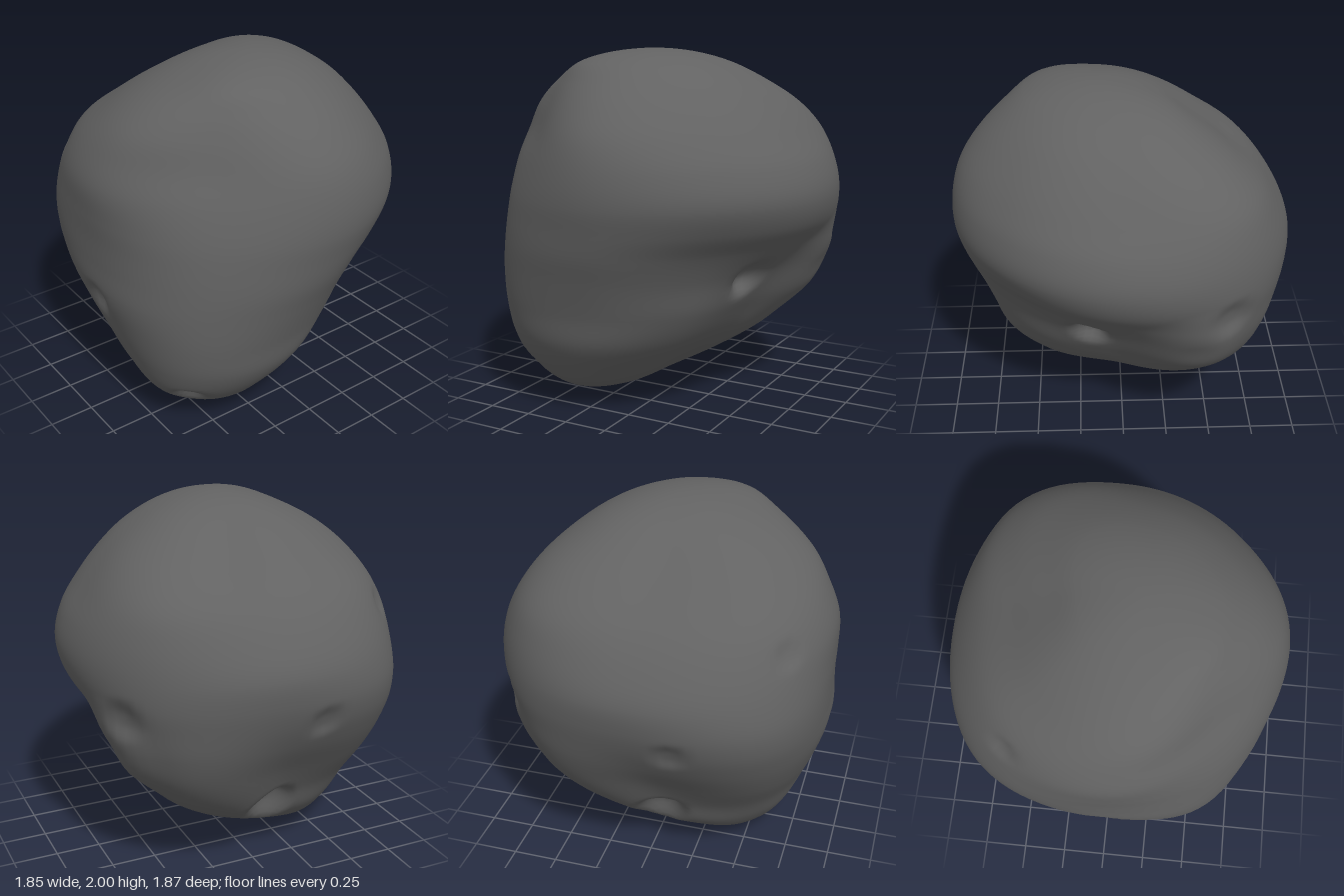
import * as THREE from 'three';
import { mergeVertices } from 'three/addons/utils/BufferGeometryUtils.js';

// Cross-sections from bottom to top: [y, centre x, centre z, then eight radii
// at 45 degree steps running +x, +x+z, +z, -x+z, -x, -x-z, -z, +x-z]
const sections = [
  [0.12, -0.35, 0.06, 0.31, 0.35, 0.44, 0.38, 0.30, 0.33, 0.39, 0.39],
  [0.25, -0.28, 0.06, 0.44, 0.47, 0.57, 0.58, 0.46, 0.49, 0.54, 0.64],
  [0.42, -0.17, 0.04, 0.55, 0.57, 0.69, 0.76, 0.64, 0.65, 0.62, 0.81],
  [0.60, -0.10, 0.02, 0.62, 0.64, 0.75, 0.86, 0.77, 0.80, 0.71, 0.91],
  [0.80, -0.05, 0.00, 0.70, 0.69, 0.83, 0.92, 0.87, 0.92, 0.82, 0.95],
  [0.95, -0.02, 0.00, 0.80, 0.75, 0.88, 0.935, 0.90, 0.99, 0.89, 0.965],
  [1.08, 0.00, 0.00, 0.88, 0.83, 0.91, 0.935, 0.92, 1.015, 0.925, 0.975],
  [1.22, 0.00, 0.00, 0.92, 0.89, 0.935, 0.91, 0.925, 0.99, 0.93, 0.975],
  [1.40, 0.00, 0.00, 0.88, 0.87, 0.925, 0.85, 0.92, 0.92, 0.85, 0.94],
  [1.55, -0.02, 0.03, 0.80, 0.79, 0.85, 0.74, 0.84, 0.83, 0.76, 0.91],
  [1.70, -0.04, 0.08, 0.69, 0.66, 0.70, 0.625, 0.72, 0.67, 0.61, 0.81],
  [1.82, -0.05, 0.12, 0.56, 0.52, 0.54, 0.52, 0.56, 0.52, 0.48, 0.65],
  [1.92, -0.04, 0.14, 0.38, 0.35, 0.38, 0.42, 0.37, 0.35, 0.35, 0.45],
];

// Local dents: [x, y, z, radius, depth]; a negative depth swells outwards
const dents = [
  [0.76, 0.76, -0.38, 0.36, -0.06],
  [0.53, 0.79, 0.17, 0.14, 0.08],
  [-0.62, 0.25, 0.46, 0.12, 0.05],
  [-0.88, 0.70, -0.02, 0.13, 0.04],
  [0.76, 1.00, -0.55, 0.14, 0.03],
  [-0.08, 0.38, -0.50, 0.17, 0.10],
  [-0.22, 0.95, -0.88, 0.11, 0.03],
  [-0.73, 1.42, -0.52, 0.10, 0.02],
];

// Curve from b to c through unevenly spaced neighbours; h0, h1, h2 are the gaps
function curve(a, b, c, d, h0, h1, h2, t) {
  const [s0, s1, s2] = [(b - a) / h0, (c - b) / h1, (d - c) / h2];
  const m1 = (h1 * (s0 * h1 + s1 * h0)) / (h0 + h1);
  const m2 = (h1 * (s1 * h2 + s2 * h1)) / (h1 + h2);
  const q = 3 * (c - b) - 2 * m1 - m2;
  return b + t * (m1 + t * (q + t * (m1 + m2 - 2 * (c - b))));
}

// Close both ends with a point; the mirrored ring beyond it keeps the end round
const pole = (y, x, z) => [y, x, z, ...Array(8).fill(0)];
const mirrored = (s) => s.map((v, i) => (i > 2 ? -v : v));
const rows = [
  mirrored(sections[0]), pole(0, -0.4, 0.03), ...sections,
  pole(2, -0.03, 0.15), mirrored(sections[sections.length - 1]),
];

// Gap between neighbouring rows, from the rise and the mean change of radius
const meanRadius = (row) => row.slice(3).reduce((sum, r) => sum + r, 0) / 8;
const gaps = rows.slice(1).map((row, i) =>
  Math.hypot(row[0] - rows[i][0], meanRadius(row) - meanRadius(rows[i])));

function sectionAt(s) {
  const i = Math.min(Math.floor(s), rows.length - 4);
  const [a, b, c, d] = rows.slice(i, i + 4);
  return a.map((v, k) => curve(v, b[k], c[k], d[k], gaps[i], gaps[i + 1], gaps[i + 2], s - i));
}

function radiusAt(radii, u) {
  const i = Math.floor(u);
  const r = (k) => radii[(i + k + 8) % 8];
  return curve(r(-1), r(0), r(1), r(2), 1, 1, 1, u - i);
}

// Press each dent along the line from the core through its centre
function pressDents(p) {
  const core = new THREE.Vector3(-0.08, 0.85, 0);
  for (const [x, y, z, radius, depth] of dents) {
    const dir = new THREE.Vector3(x, y, z).sub(core).normalize();
    const rel = p.clone().sub(core);
    const along = rel.dot(dir);
    if (along <= 0) continue;
    const off = rel.addScaledVector(dir, -along).length();
    p.addScaledVector(dir, -depth * (1 - THREE.MathUtils.smoothstep(off, radius * 0.2, radius)));
  }
  return p;
}

function boulderGeometry(rings = 112, sides = 112) {
  const positions = [];
  const index = [];
  for (let j = 0; j <= rings; j++) {
    const [y, cx, cz, ...radii] = sectionAt((j / rings) * (rows.length - 3));
    for (let i = 0; i < sides; i++) {
      const a = (i / sides) * Math.PI * 2;
      const r = radiusAt(radii, (i / sides) * 8);
      const p = new THREE.Vector3(cx + r * Math.cos(a), y, cz + r * Math.sin(a));
      positions.push(...pressDents(p).toArray());
      if (j === rings) continue;
      const here = j * sides + i;
      const next = j * sides + ((i + 1) % sides);
      index.push(here, here + sides, next, next, here + sides, next + sides);
    }
  }
  const geometry = new THREE.BufferGeometry();
  geometry.setAttribute('position', new THREE.Float32BufferAttribute(positions, 3));
  geometry.setIndex(index);
  const merged = mergeVertices(geometry, 1e-5);
  merged.computeVertexNormals();
  return merged;
}

export function createModel() {
  const group = new THREE.Group();
  const boulder = new THREE.Mesh(
    boulderGeometry(),
    new THREE.MeshStandardMaterial({ color: 0x626262 })
  );
  boulder.name = 'boulder';
  group.add(boulder);
  return group;
}
